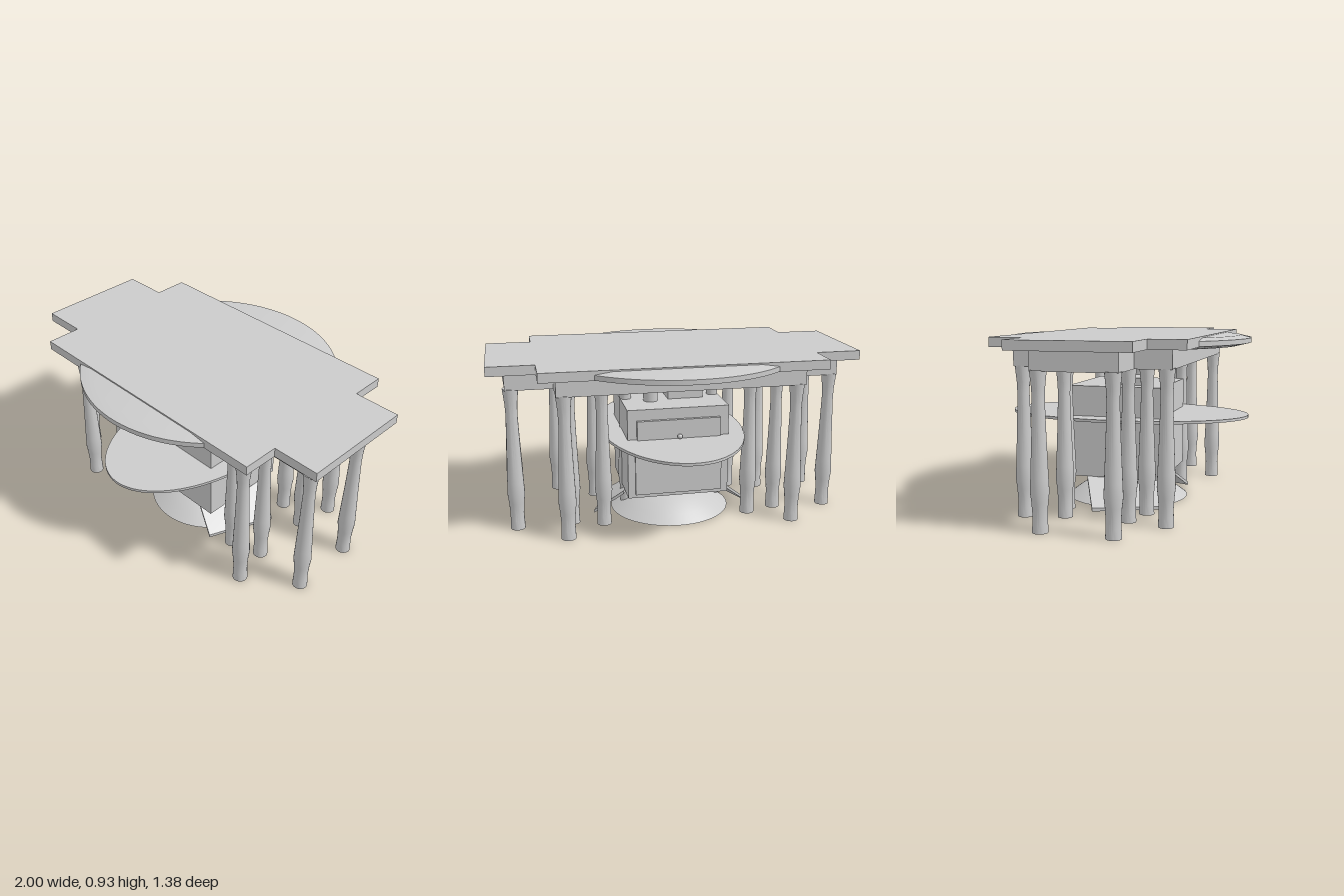
import * as THREE from 'three';
import { toCreasedNormals } from 'three/addons/utils/BufferGeometryUtils.js';

const material = new THREE.MeshStandardMaterial({ color: 0xcccccc, side: THREE.DoubleSide });

export function createModel() {
  const model = new THREE.Group();

  const add = (name, geometry, x = 0, y = 0, z = 0) => {
    const mesh = new THREE.Mesh(geometry, material);
    mesh.name = name;
    mesh.position.set(x, y, z);
    model.add(mesh);
    return mesh;
  };
  const box = (name, w, h, d, x, y, z) => add(name, new THREE.BoxGeometry(w, h, d), x, y, z);
  const lathe = (points, sides) => toCreasedNormals(
    new THREE.LatheGeometry(points.map(([r, y]) => new THREE.Vector2(r, y)), sides), 0.5);

  // Plus-shaped outline: long arms reach (xl, zs), the wide middle reaches (xs, zl)
  const crossPoints = (xl, zs, xs, zl) => [
    [xl, -zs], [xl, zs], [xs, zs], [xs, zl], [-xs, zl], [-xs, zs],
    [-xl, zs], [-xl, -zs], [-xs, -zs], [-xs, -zl], [xs, -zl], [xs, -zs],
  ].map(([x, z]) => new THREE.Vector2(x, z));
  const flat = (shape, depth) => new THREE.ExtrudeGeometry(shape, {
    depth, bevelEnabled: false, curveSegments: 48,
  }).rotateX(-Math.PI / 2);

  // Table top with a bevelled round leaf below its surface
  add('tableTop', flat(new THREE.Shape(crossPoints(1, 0.31, 0.75, 0.5)), 0.05), 0, 0.88, 0);
  add('roundLeaf', lathe([[0, 0.865], [0.62, 0.865], [0.69, 0.882], [0.69, 0.908],
    [0.63, 0.922], [0, 0.925]], 96));

  // Hollow apron and the rails above the inner legs
  const apron = new THREE.Shape(crossPoints(0.91, 0.22, 0.66, 0.41));
  apron.holes.push(new THREE.Path(crossPoints(0.85, 0.16, 0.6, 0.35).reverse()));
  add('apron', flat(apron, 0.1), 0, 0.78, 0);
  for (const side of [-1, 1]) {
    box('rail', 1.22, 0.09, 0.06, 0, 0.825, side * 0.2);
    box('crossRail', 0.06, 0.09, 0.36, side * 0.25, 0.825, 0);
  }

  // Turned legs, mirrored in both directions
  const legGeometry = lathe([[0, 0], [0.04, 0], [0.038, 0.05], [0.037, 0.09], [0.041, 0.15],
    [0.047, 0.2], [0.044, 0.27], [0.036, 0.47], [0.031, 0.64], [0.033, 0.7],
    [0.042, 0.785], [0, 0.785]], 24);
  for (const [x, z] of [[0.88, 0.185], [0.62, 0.375], [0.58, 0.17], [0.41, 0.22], [0.25, 0]]) {
    for (const sx of [-1, 1]) {
      for (const sz of z ? [-1, 1] : [1]) add('leg', legGeometry, sx * x, 0, sz * z);
    }
  }

  // Cabinet under the table
  box('cabinet', 0.56, 0.5, 0.52, 0, 0.4, 0);
  box('cabinetTopBlock', 0.2, 0.04, 0.2, -0.08, 0.67, 0.03);
  add('topPost', new THREE.CylinderGeometry(0.044, 0.04, 0.22, 24), 0.12, 0.76, -0.075);
  box('drawerFront', 0.46, 0.11, 0.02, 0, 0.535, -0.27);
  box('doorPanel', 0.48, 0.27, 0.014, 0, 0.305, -0.265);
  add('drawerKnob', new THREE.SphereGeometry(0.014, 16, 12), 0, 0.5, -0.295);

  // Oval shelf through the cabinet
  const oval = new THREE.Shape();
  oval.absellipse(0, 0, 0.4, 0.685, 0, Math.PI * 2);
  add('ovalShelf', flat(oval, 0.015), 0, 0.47, 0);

  // Triangular shelf brackets
  const bracket = (reach, drop) => {
    const shape = new THREE.Shape();
    shape.moveTo(0, 0).lineTo(reach, 0).lineTo(0, -drop).closePath();
    return new THREE.ExtrudeGeometry(shape, { depth: 0.02, bevelEnabled: false });
  };
  add('backBracket', bracket(0.08, 0.13), 0.09, 0.47, -0.26).rotation.y = Math.PI / 2;
  add('sideBracket', bracket(0.05, 0.035), 0.28, 0.468, -0.04);

  // Domed pedestal
  add('pedestal', lathe([[0, 0], [0.34, 0], [0.28, 0.045], [0.22, 0.083], [0.16, 0.11],
    [0.1, 0.127], [0.1, 0.155], [0, 0.155]], 64));

  // Leaning foot panels: bottom edge, then top edge, thickened upward
  const panelGeometry = (side) => {
    const corners = [[0.3, 0, 0.29], [0.45, 0, -0.07], [0.29, 0.135, -0.15], [0.1, 0.14, 0.2]];
    const positions = [];
    for (const lift of [0, 0.018]) {
      for (const [x, y, z] of corners) positions.push(side * x, y + lift, z);
    }
    const index = [0, 3, 2, 0, 2, 1, 4, 5, 6, 4, 6, 7];
    for (let i = 0; i < 4; i++) {
      const j = (i + 1) % 4;
      index.push(i, j, j + 4, i, j + 4, i + 4);
    }
    if (side < 0) index.reverse();
    const geometry = new THREE.BufferGeometry();
    geometry.setAttribute('position', new THREE.Float32BufferAttribute(positions, 3));
    geometry.setIndex(index);
    return toCreasedNormals(geometry, 0.3);
  };
  for (const side of [-1, 1]) add('footPanel', panelGeometry(side));

  return model;
}
